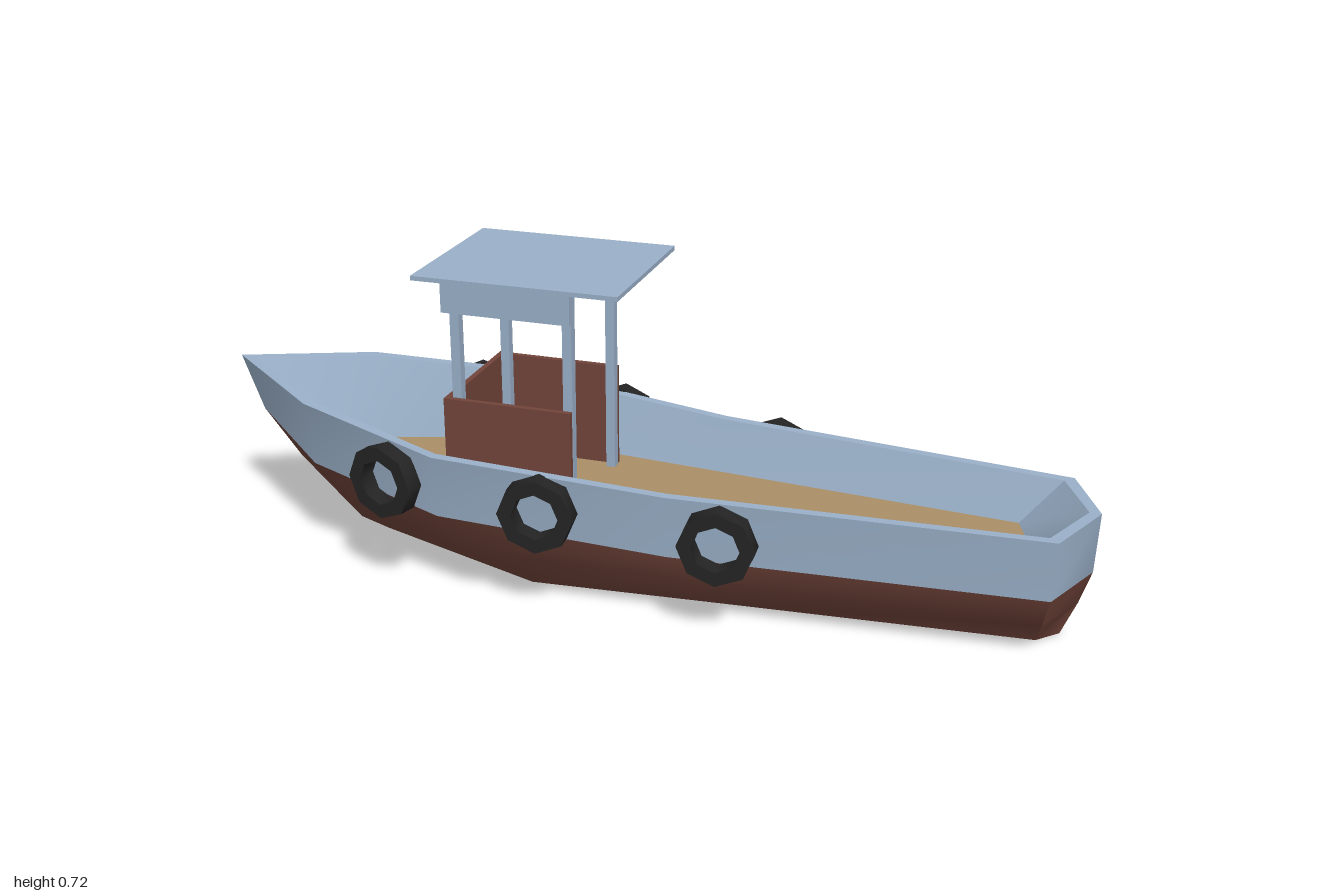
import * as THREE from 'three';
import { toCreasedNormals } from 'three/addons/utils/BufferGeometryUtils.js';

// Half outlines (x, y, z) from bow stem to stern centre, mirrored into loops
const RIM = [[-1, .41, 0], [-.74, .385, .18], [-.38, .345, .285], [.13, .305, .24], [.93, .29, .168], [1, .29, 0]];
const INNER = [[-.965, .408, 0], [-.725, .384, .16], [-.38, .345, .262], [.13, .305, .218], [.91, .29, .148], [.975, .29, 0]];
const WATER = [[-.95, .28, 0], [-.73, .235, .165], [-.38, .2, .268], [.13, .162, .228], [.925, .155, .162], [.995, .155, 0]];
const BILGE = [[-.86, .17, 0], [-.69, .14, .115], [-.32, .115, .245], [.17, .1, .202], [.91, .08, .13], [.972, .08, 0]];
const BOTTOM = [[-.71, .03, 0], [-.62, .028, .035], [-.2, .02, .17], [.25, .014, .122], [.895, .002, .05], [.94, 0, 0]];
const DECK = [[-.79, .19, 0], [-.685, .19, .125], [-.38, .19, .222], [.13, .19, .178], [.825, .19, .117], [.865, .19, 0]];

const loop = half => [...half, ...half.slice(1, -1).reverse().map(([x, y, z]) => [x, y, -z])];

// Band of triangles between an upper and a lower loop
function band(upper, lower) {
  const a = loop(upper), b = loop(lower), out = [];
  for (let i = 0; i < a.length; i++) {
    const j = (i + 1) % a.length;
    out.push(b[i], b[j], a[j], b[i], a[j], a[i]);
  }
  return out;
}

function surface(points) {
  const g = new THREE.BufferGeometry();
  g.setAttribute('position', new THREE.Float32BufferAttribute(points.flat(), 3));
  return toCreasedNormals(g, 0.95);
}

export function createModel() {
  const group = new THREE.Group();
  const paint = (name, color, side = THREE.FrontSide) => {
    const m = new THREE.MeshStandardMaterial({ color, side });
    m.name = name;
    return m;
  };
  const blue = paint('greyBlue', 0x9ab0c8, THREE.DoubleSide);
  const red = paint('rustRed', 0x73453b, THREE.DoubleSide);
  const tan = paint('deckTan', 0xaa9067, THREE.DoubleSide);
  const black = paint('tireBlack', 0x242424);

  const add = (name, geometry, material) => {
    const mesh = new THREE.Mesh(geometry, material);
    mesh.name = name;
    group.add(mesh);
    return mesh;
  };
  // Box given by its limits on each axis
  const box = (name, material, x0, x1, y0, y1, z0, z1) =>
    add(name, new THREE.BoxGeometry(x1 - x0, y1 - y0, z1 - z0), material)
      .position.set((x0 + x1) / 2, (y0 + y1) / 2, (z0 + z1) / 2);

  // Hull: painted bulwark above, thin red shell below, open underneath
  add('upperHull', surface(band(RIM, WATER)), blue);
  add('lowerHull', surface([...band(WATER, BILGE), ...band(BILGE, BOTTOM)]), red);
  add('rim', surface(band(INNER, RIM)), blue);
  add('innerBulwark', surface(band(DECK, INNER)), blue);

  // Deck
  const edge = loop(DECK);
  add('deck', surface(edge.flatMap((p, i) => [[0, .19, 0], p, edge[(i + 1) % edge.length]])), tan);

  // Wheelhouse: three low panels open to the stern, four posts, two side boards, roof
  box('frontPanel', red, -.403, -.39, .185, .432, -.16, .16);
  for (const s of [1, -1]) {
    const across = (a, b) => (s > 0 ? [a, b] : [-b, -a]);
    box('sidePanel', red, -.39, -.108, .185, .432, ...across(.147, .16));
    box('sideBoard', blue, -.4, -.106, .63, .707, ...across(.147, .16));
    for (const x of [-.386, -.128]) box('post', blue, x, x + .021, .185, .707, ...across(.125, .147));
  }
  box('roof', blue, -.453, .012, .706, .716, -.2, .191);

  // Tire fenders: octagonal rings hung along both sides
  const profile = [[.052, -.021], [.084, -.021], [.084, .021], [.052, .021], [.052, -.021]]
    .map(([r, h]) => new THREE.Vector2(r, h));
  const ring = toCreasedNormals(new THREE.LatheGeometry(profile, 8).rotateX(Math.PI / 2), 0.9);
  for (const [x, y, z, tilt] of [[-.5, .27, .27, -.24], [-.14, .247, .282, .07], [.25, .219, .256, .07]]) {
    for (const s of [1, -1]) {
      const tire = add('tireFender', ring, black);
      tire.position.set(x, y, s * z);
      tire.rotation.y = s * tilt;
    }
  }
  return group;
}
